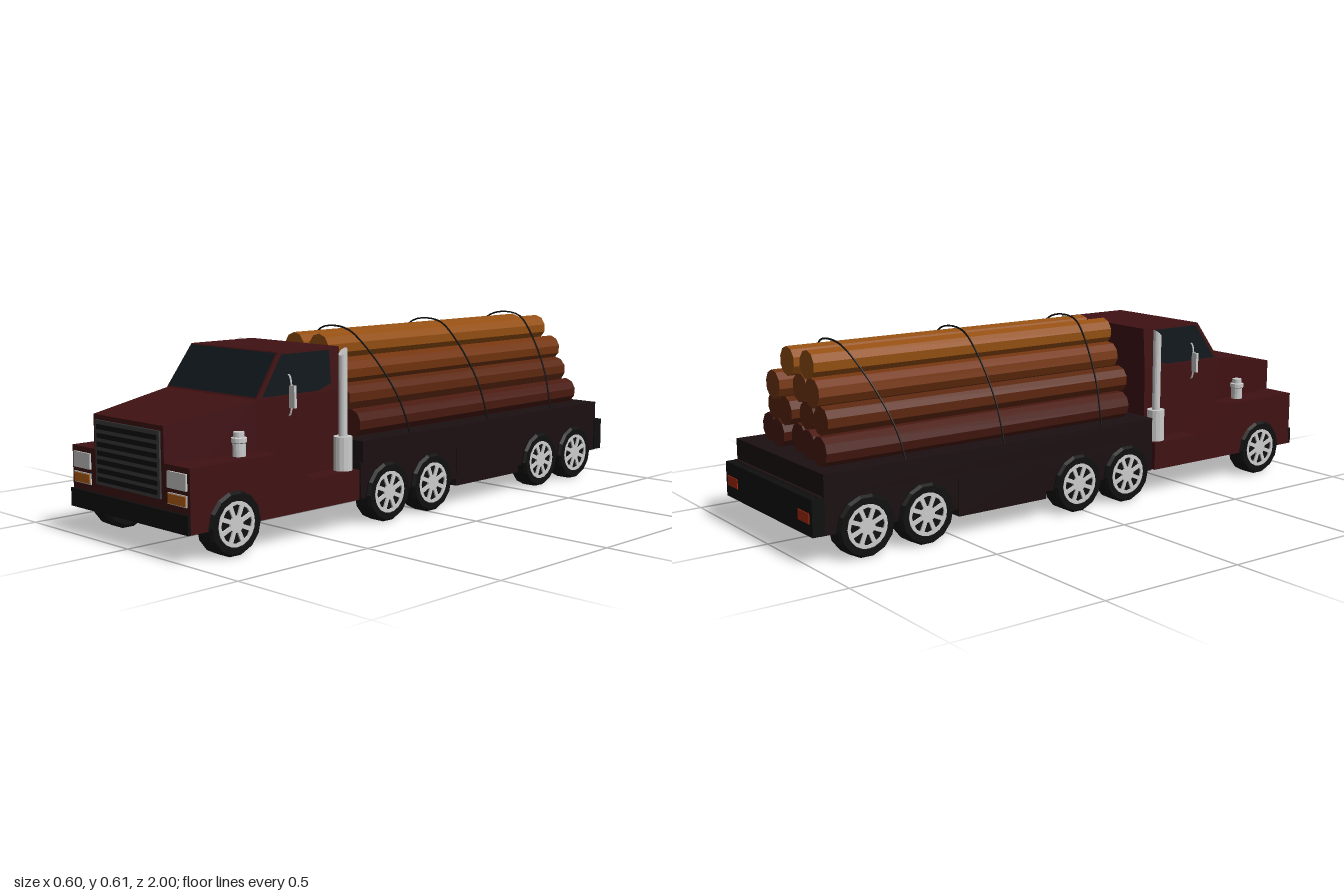
import * as THREE from 'three';

const mat = (color, extra = {}) => new THREE.MeshStandardMaterial({ color, flatShading: true, ...extra });
const RED = mat(0x401113), BLACK = mat(0x0f0f0f), BED = mat(0x1b0f11), METAL = mat(0xcccccc);
const GLASS = mat(0x10161b, { side: THREE.DoubleSide }), GRILLE = mat(0x3c3c3c), AMBER = mat(0xb8621a), TAIL = mat(0xa82a10);
const WOOD = [0x4a1a10, 0x5c270f, 0x753610, 0x955012].map((c) => mat(c));

export function createModel() {
  const root = new THREE.Group();

  const add = (name, geo, material, x = 0, y = 0, z = 0, parent = root) => {
    const m = new THREE.Mesh(geo, material);
    m.name = name;
    m.position.set(x, y, z);
    parent.add(m);
    return m;
  };
  // box given by its limits
  const box = (name, material, x0, x1, y0, y1, z0, z1) =>
    add(name, new THREE.BoxGeometry(x1 - x0, y1 - y0, z1 - z0), material, (x0 + x1) / 2, (y0 + y1) / 2, (z0 + z1) / 2);
  // side profile of [z, y] points, swept across x to a half width that may vary
  const slab = (name, material, pts, halfWidth) => {
    const shape = new THREE.Shape(pts.map(([z, y]) => new THREE.Vector2(z, y)));
    const geo = new THREE.ExtrudeGeometry(shape, { depth: 1, bevelEnabled: false });
    geo.translate(0, 0, -0.5).rotateY(-Math.PI / 2);
    const p = geo.attributes.position;
    for (let i = 0; i < p.count; i++) p.setX(i, Math.sign(p.getX(i)) * halfWidth(p.getZ(i), p.getY(i)));
    geo.computeVertexNormals();
    return add(name, geo, material);
  };
  // flat convex panel
  const panel = (name, material, pts) => {
    const geo = new THREE.BufferGeometry();
    geo.setAttribute('position', new THREE.Float32BufferAttribute(pts.flat(), 3));
    geo.setIndex(pts.slice(2).flatMap((_, i) => [0, i + 1, i + 2]));
    geo.computeVertexNormals();
    return add(name, geo, material);
  };
  const lathe = (pts, n) => new THREE.LatheGeometry(pts.map(([r, y]) => new THREE.Vector2(r, y)), n);

  // cab, hood and fenders
  const cabWidth = (y) => 0.217 - 0.01 * Math.max(0, (y - 0.435) / 0.135);
  slab('fenders', RED, [[0.99, 0.09], [0.99, 0.28], [0.66, 0.28], [0.52, 0.185], [0.32, 0.185], [0.32, 0.09]], () => 0.288);
  slab('hood', RED, [[0.99, 0.15], [0.99, 0.387], [0.68, 0.435], [0.68, 0.15]], (z) => (z > 0.8 ? 0.171 : 0.217));
  slab('cabLower', RED, [[0.68, 0.15], [0.68, 0.435], [0.33, 0.435], [0.33, 0.15]], () => 0.217);
  slab('cabUpper', RED, [[0.68, 0.435], [0.585, 0.57], [0.33, 0.57], [0.33, 0.435]], (z, y) => cabWidth(y));
  panel('windshield', GLASS, [[-0.211, 0.441, 0.679], [0.211, 0.441, 0.679], [0.203, 0.567, 0.59], [-0.203, 0.567, 0.59]]);
  box('frontBumper', BLACK, -0.288, 0.288, 0.09, 0.147, 0.96, 1);

  // grille
  box('grilleFrame', GRILLE, -0.158, 0.158, 0.175, 0.372, 0.98, 0.996);
  for (let i = 0; i < 7; i++) {
    const y = 0.193 + i * 0.0265;
    box('grilleSlot', BLACK, -0.147, 0.147, y - 0.0075, y + 0.0075, 0.98, 0.998);
  }

  // parts repeated on both sides
  for (const s of [-1, 1]) {
    const side = (name, m, x0, x1, ...r) => box(name, m, Math.min(s * x0, s * x1), Math.max(s * x0, s * x1), ...r);
    side('headlight', METAL, 0.19, 0.276, 0.214, 0.263, 0.98, 0.996);
    side('signalFrame', METAL, 0.19, 0.276, 0.167, 0.201, 0.98, 0.994);
    side('signalLight', AMBER, 0.193, 0.273, 0.17, 0.198, 0.98, 0.997);
    side('tailLight', TAIL, 0.205, 0.272, 0.13, 0.162, -1, -0.98);

    const glass = [[0.66, 0.44], [0.575, 0.562], [0.375, 0.562], [0.375, 0.458], [0.43, 0.44]];
    panel('sideWindow', GLASS, glass.map(([z, y]) => [s * (cabWidth(y) + 0.002), y, z]));

    // mirror on a bent arm
    side('mirror', METAL, 0.223, 0.246, 0.4, 0.468, 0.546, 0.556);
    const arm = new THREE.CatmullRomCurve3([[0.212, 0.5], [0.219, 0.498], [0.227, 0.47], [0.227, 0.4], [0.221, 0.378], [0.214, 0.374]]
      .map(([x, y]) => new THREE.Vector3(s * x, y, 0.55)));
    add('mirrorArm', new THREE.TubeGeometry(arm, 16, 0.003, 6), METAL);

    // exhaust with slanted tip
    add('exhaustCanister', new THREE.CylinderGeometry(0.03, 0.03, 0.11, 14), METAL, s * 0.25, 0.238, 0.355);
    const stack = new THREE.CylinderGeometry(0.014, 0.014, 0.31, 14);
    const p = stack.attributes.position;
    for (let i = 0; i < p.count; i++) if (p.getY(i) > 0) p.setY(i, p.getY(i) - (p.getZ(i) + 0.014) * 0.85);
    stack.computeVertexNormals();
    add('exhaustStack', stack, METAL, s * 0.251, 0.415, 0.355);

    // air cleaner
    add('airCleaner', lathe([[0, 0], [0.02, 0], [0.02, 0.04], [0.024, 0.043], [0.024, 0.056], [0.017, 0.058], [0.017, 0.073], [0, 0.073]], 14),
      METAL, s * 0.234, 0.279, 0.765);
  }

  // trailer bed and chassis
  box('chassis', BED, -0.284, 0.284, 0.09, 0.207, -0.97, 0.31);
  box('logBed', BED, -0.288, 0.288, 0.205, 0.274, -0.957, 0.305);
  box('sideSkirt', BED, -0.286, 0.286, 0.066, 0.2, -0.49, -0.15);
  box('rearBumper', BLACK, -0.288, 0.288, 0.092, 0.205, -0.997, -0.955);
  box('hitch', BLACK, -0.215, 0.215, 0.13, 0.2, 0.3, 0.34);

  // wheels: faceted tyre, dark hub and spoked rim
  const tyreGeo = lathe([[0, -0.036], [0.085, -0.036], [0.0975, -0.028], [0.0975, 0.026], [0.09, 0.036], [0.07, 0.036], [0.067, 0.03], [0, 0.03]], 14);
  tyreGeo.rotateZ(-Math.PI / 2);
  const rim = new THREE.Shape().absarc(0, 0, 0.068, 0, Math.PI * 2);
  for (let i = 0; i < 8; i++) {
    const a = (i * Math.PI) / 4;
    const at = (r, d) => new THREE.Vector2(r * Math.cos(a + d), r * Math.sin(a + d));
    rim.holes.push(new THREE.Path([at(0.025, -0.14), at(0.056, -0.27), at(0.058, 0), at(0.056, 0.27), at(0.025, 0.14)]));
  }
  const rimGeo = new THREE.ExtrudeGeometry(rim, { depth: 0.006, bevelEnabled: false, curveSegments: 10 });
  rimGeo.rotateY(Math.PI / 2);
  for (const z of [0.83, 0.19, -0.02, -0.61, -0.82]) {
    for (const s of [-1, 1]) {
      const wheel = new THREE.Group();
      wheel.name = 'wheel';
      wheel.position.set(s * 0.262, 0.0975, z);
      wheel.rotation.y = s > 0 ? 0 : Math.PI;
      add('tyre', tyreGeo, BLACK, 0, 0, 0, wheel);
      add('rim', rimGeo, METAL, 0.0295, 0, 0, wheel);
      root.add(wheel);
    }
  }

  // stacked logs, five at the bottom to two on top
  let seed = 7;
  const rand = () => (seed = (seed * 16807) % 2147483647) / 2147483647;
  for (let row = 0; row < 4; row++) {
    const n = 5 - row;
    for (let i = 0; i < n; i++) {
      const geo = new THREE.CylinderGeometry(0.046, 0.046, 1.155, 10);
      geo.rotateX(Math.PI / 2);
      const log = add('log', geo, WOOD[row], (i - (n - 1) / 2) * 0.1, 0.319 + row * 0.077, -0.318 + (rand() - 0.5) * 0.05);
      log.rotation.z = rand();
    }
  }

  // straps over the load, [x, y] over one half; the outer two lean outward at the top
  const half = [[0.284, 0.274], [0.268, 0.33], [0.24, 0.4], [0.18, 0.492], [0.107, 0.573], [0.07, 0.6], [0.03, 0.611]];
  for (const [zEdge, zTop] of [[0.082, 0.147], [-0.316, -0.316], [-0.678, -0.768]]) {
    const pts = [...half.map(([x, y]) => [-x, y]), ...half.slice().reverse()].map(([x, y]) =>
      new THREE.Vector3(x, y, THREE.MathUtils.lerp(zEdge, zTop, Math.pow((y - 0.274) / 0.338, 1.4))));
    add('strap', new THREE.TubeGeometry(new THREE.CatmullRomCurve3(pts), 40, 0.003, 6), BLACK);
  }

  return root;
}
